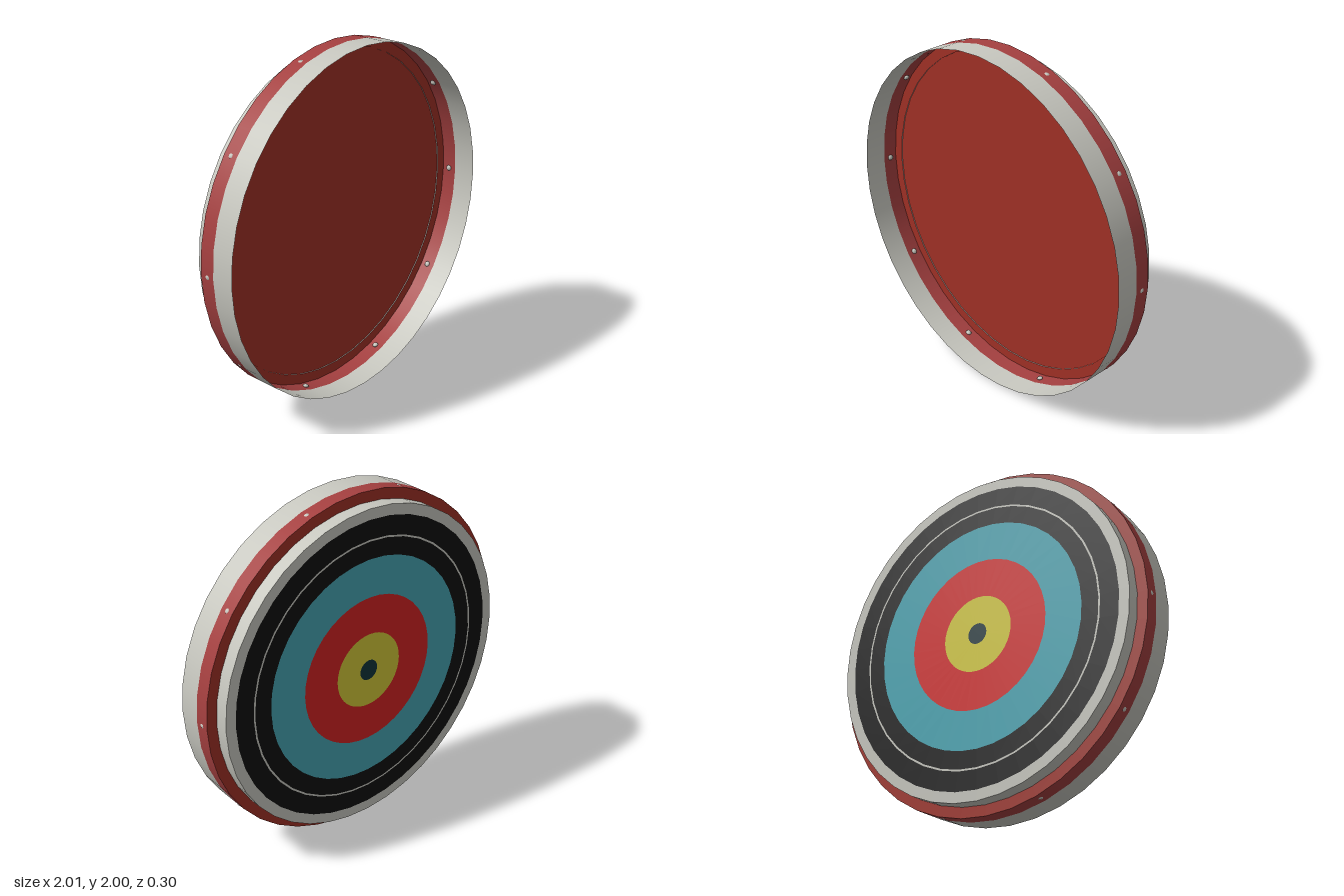
import * as THREE from 'three';

const SIDES = 40;

function makeMaterial(name, color) {
  const m = new THREE.MeshStandardMaterial({ color, side: THREE.DoubleSide });
  m.name = name;
  return m;
}

export function createModel() {
  const group = new THREE.Group();
  group.name = 'roundTarget';

  const grey = makeMaterial('pale grey', 0xc8c8c0);
  const bandRed = makeMaterial('band red', 0xa54040);
  const boardRed = makeMaterial('board brown red', 0xa03026);
  const black = makeMaterial('black', 0x0c0c0c);
  const blue = makeMaterial('blue', 0x46a6b4);
  const red = makeMaterial('red', 0xd42323);
  const yellow = makeMaterial('yellow', 0xd4ca38);
  const teal = makeMaterial('dark teal', 0x0e343a);

  function add(name, geometry, material) {
    const mesh = new THREE.Mesh(geometry, material);
    mesh.name = name;
    group.add(mesh);
    return mesh;
  }

  // Open cylindrical wall between two depths
  function wall(name, radius, z0, z1, material) {
    const g = new THREE.CylinderGeometry(radius, radius, z1 - z0, SIDES, 1, true);
    g.rotateX(Math.PI / 2);
    g.translate(0, 1, (z0 + z1) / 2);
    add(name, g, material);
  }

  // Flat ring or disc; facing the back by default
  function ring(name, inner, outer, z, material, faceFront = false) {
    const g = inner > 0
      ? new THREE.RingGeometry(inner, outer, SIDES, 1)
      : new THREE.CircleGeometry(outer, SIDES);
    if (!faceFront) g.rotateY(Math.PI);
    g.translate(0, 1, z);
    add(name, g, material);
  }

  // Hollow rim, open at the front
  wall('frontRim', 1, 0.018, 0.15, grey);
  wall('rimBand', 1, -0.07, 0.018, bandRed);

  // Recessed board and the narrower drum behind it
  ring('backShoulder', 0.94, 1, -0.07, boardRed);
  ring('board', 0, 0.94, -0.075, boardRed, true);
  wall('drumWall', 0.94, -0.15, -0.07, grey);

  // Target face on the back
  const rings = [
    ['bullseye', 0.06, teal],
    ['yellowRing', 0.22, yellow],
    ['redRing', 0.44, red],
    ['blueRing', 0.66, blue],
    ['innerBlackRing', 0.76, black],
    ['thinDividingLine', 0.77, grey],
    ['outerBlackRing', 0.88, black],
    ['faceBorder', 0.94, grey],
  ];
  let inner = 0;
  for (const [name, outer, material] of rings) {
    ring(name, inner, outer, -0.15, material);
    inner = outer;
  }

  // Ten small studs around the band
  const studGeometry = new THREE.SphereGeometry(0.017, 8, 6);
  for (let i = 0; i < 10; i++) {
    const a = (i / 10) * Math.PI * 2;
    const stud = add('stud', studGeometry, grey);
    stud.position.set(0.993 * Math.cos(a), 1 + 0.993 * Math.sin(a), -0.025);
    // Flattened against the rim
    stud.scale.x = 0.6;
    stud.rotation.z = a;
  }

  return group;
}
